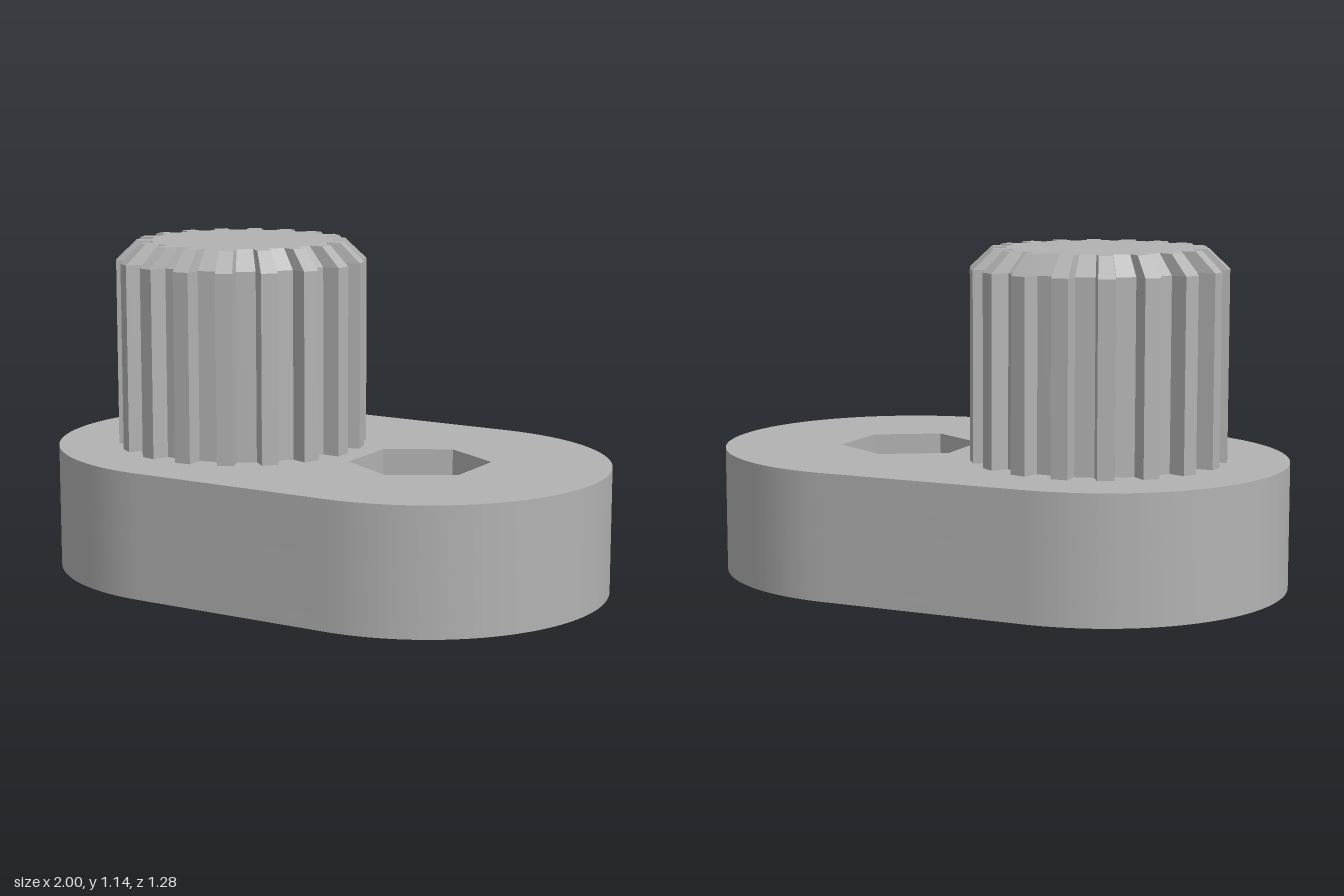
import * as THREE from 'three';
import { toCreasedNormals } from 'three/addons/utils/BufferGeometryUtils.js';

const HALF_SPAN = 0.36, BASE_RADIUS = 0.64, BASE_TOP = 0.43;
const BOLT_X = 0.355, GEAR_X = -0.355;

// Shape plane is (x, -z); extrusion runs upward from y0 to y1.
function extrudeUp(shape, y0, y1) {
  const g = new THREE.ExtrudeGeometry(shape, { depth: y1 - y0, bevelEnabled: false, curveSegments: 40 });
  g.rotateX(-Math.PI / 2);
  g.translate(0, y0, 0);
  return g;
}

// Rounded plate outline
function plateShape(holes) {
  const s = new THREE.Shape();
  s.absarc(HALF_SPAN, 0, BASE_RADIUS, -Math.PI / 2, Math.PI / 2, false);
  s.absarc(-HALF_SPAN, 0, BASE_RADIUS, Math.PI / 2, Math.PI * 1.5, false);
  s.closePath();
  s.holes.push(...holes);
  return s;
}

function roundHole(x, z, r) {
  return new THREE.Path().absarc(x, -z, r, 0, Math.PI * 2, true);
}

function hexHole(x, r) {
  const pts = [];
  for (let i = 0; i < 6; i++) {
    const a = Math.PI / 2 - i * Math.PI / 3;
    pts.push(new THREE.Vector2(x + r * Math.cos(a), r * Math.sin(a)));
  }
  return new THREE.Path(pts);
}

// Straight-sided spline outline, centred on the origin
function splineShape(teeth, outer, root, phase) {
  const pts = [];
  for (let i = 0; i < teeth; i++) {
    const a = phase + i * Math.PI * 2 / teeth;
    for (const [r, d] of [[root, -0.087], [outer, -0.065], [outer, 0.065], [root, 0.087]]) {
      pts.push(new THREE.Vector2(r * Math.cos(a + d), r * Math.sin(a + d)));
    }
  }
  return new THREE.Shape(pts);
}

export function createModel() {
  const model = new THREE.Group();
  const grey = new THREE.MeshStandardMaterial({ color: 0xb2b2b2 });
  grey.name = 'plain grey';

  const add = (name, geometry, parent) => {
    const mesh = new THREE.Mesh(geometry, grey);
    mesh.name = name;
    parent.add(mesh);
    return mesh;
  };

  // Base plate in layers: shallow pin holes, bolt hole, hexagonal nut pocket
  const base = new THREE.Group();
  base.name = 'basePlate';
  model.add(base);
  const bolt = () => roundHole(BOLT_X, 0, 0.123);
  const layers = [
    ['pinHoleLayer', 0, 0.05, [bolt(), roundHole(-0.32, 0.344, 0.064), roundHole(-0.545, 0.344, 0.064)]],
    ['boltHoleLayer', 0.05, 0.25, [bolt()]],
    ['nutPocketLayer', 0.25, BASE_TOP, [hexHole(BOLT_X, 0.24)]],
  ];
  for (const [name, y0, y1, holes] of layers) {
    add(name, toCreasedNormals(extrudeUp(plateShape(holes), y0, y1), 0.5), base);
  }

  // Splined shaft with a tapered tip
  const shaft = new THREE.Group();
  shaft.name = 'splinedShaft';
  shaft.position.x = GEAR_X;
  model.add(shaft);
  const outline = splineShape(18, 0.435, 0.375, -0.085);
  const shoulder = 1.075, tip = 1.143;
  add('shaftBody', extrudeUp(outline, BASE_TOP, shoulder), shaft);

  const taper = extrudeUp(outline, shoulder, tip);
  const p = taper.attributes.position;
  for (let i = 0; i < p.count; i++) {
    if (p.getY(i) > (shoulder + tip) / 2) {
      p.setX(i, p.getX(i) * 0.835);
      p.setZ(i, p.getZ(i) * 0.835);
    }
  }
  taper.computeVertexNormals();
  add('shaftTip', taper, shaft);

  return model;
}
